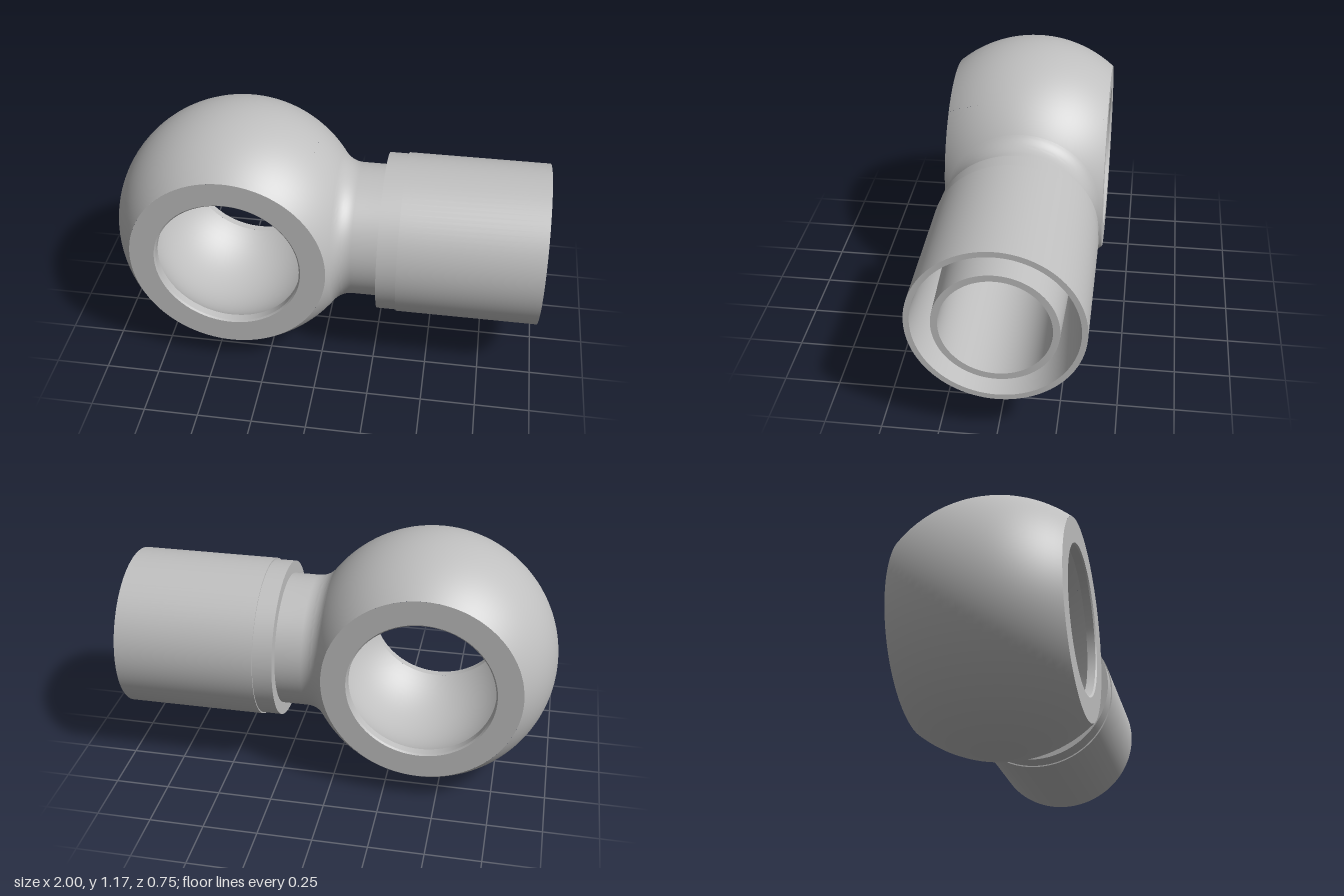
import * as THREE from 'three';
import { mergeGeometries, toCreasedNormals } from 'three/addons/utils/BufferGeometryUtils.js';

const CX = -0.415, CY = 0.585;            // centre of the ball head
const R = 0.585, HALF = 0.373;            // ball radius, half width between flats
const CAVITY = 0.466, LIP = 0.33;         // hollow inside the ball, its side openings
const NECK = 0.31, BORE = 0.233;

// Grid of points on a sphere; fn(u, v) gives the angle about z and the height z
function sphereGrid(radius, nu, nv, inward, fn) {
  const pos = [], nor = [], idx = [], s = inward ? -1 : 1;
  for (let j = 0; j <= nv; j++) {
    for (let i = 0; i <= nu; i++) {
      const [a, z] = fn(i / nu, j / nv);
      const r = Math.sqrt(radius * radius - z * z);
      const p = [r * Math.cos(a), r * Math.sin(a), z];
      pos.push(...p);
      nor.push(...p.map((c) => (s * c) / radius));
      if (i < nu && j < nv) {
        const k = j * (nu + 1) + i, l = k + nu + 1;
        if (inward) idx.push(k, k + 1, l, l, k + 1, l + 1);
        else idx.push(k, l, k + 1, l, l + 1, k + 1);
      }
    }
  }
  const g = new THREE.BufferGeometry();
  g.setAttribute('position', new THREE.Float32BufferAttribute(pos, 3));
  g.setAttribute('normal', new THREE.Float32BufferAttribute(nor, 3));
  g.setIndex(idx);
  return g;
}

// Spherical band cut by two flats, with a round hole facing +x
function piercedBand(radius, half, hole, inward) {
  const A = 0.9;
  const patch = sphereGrid(radius, 96, 12, inward, (u, v) => {
    const t = u * Math.PI * 2, c = Math.cos(t), s = Math.sin(t);
    const m = Math.max(Math.abs(c), Math.abs(s));
    const z0 = hole * s;
    const a0 = Math.asin((hole * c) / Math.sqrt(radius * radius - z0 * z0));
    return [a0 + ((A * c) / m - a0) * v, z0 + ((half * s) / m - z0) * v];
  });
  const rest = sphereGrid(radius, 24, 72, inward, (u, v) =>
    [A + (Math.PI * 2 - 2 * A) * v, half * (2 * u - 1)]);
  return mergeGeometries([patch, rest]);
}

// Revolved profile of [radius, height] points, with sharp edges kept
function revolve(points) {
  const g = new THREE.LatheGeometry(points.map(([r, h]) => new THREE.Vector2(r, h)), 96);
  return toCreasedNormals(g, 0.5);
}

export function createModel() {
  const metal = new THREE.MeshStandardMaterial({ color: 0xbfbfbf });
  metal.name = 'grey metal';
  const model = new THREE.Group();
  model.name = 'ringFitting';
  const add = (name, geometry, parent) => {
    const mesh = new THREE.Mesh(geometry, metal);
    mesh.name = name;
    parent.add(mesh);
    return mesh;
  };

  // Fillet circle that touches both the ball and the neck
  const dx = 0.555;
  const f = (dx * dx + NECK * NECK - R * R) / (2 * (R - NECK));
  const start = Math.PI + Math.atan2(NECK + f, dx);
  const fillet = [];
  for (let i = 0; i <= 12; i++) {
    const t = start + (Math.PI * 1.5 - start) * (i / 12);
    fillet.push([NECK + f + f * Math.sin(t), CX + dx + f * Math.cos(t)]);
  }

  // Ball head with its hollow
  const head = new THREE.Group();
  head.name = 'head';
  head.position.set(CX, CY, 0);
  model.add(head);
  const cavityHalf = Math.sqrt(CAVITY ** 2 - LIP ** 2);
  add('ballShell', piercedBand(R, HALF, fillet[0][0], false), head);
  add('ballCavity', piercedBand(CAVITY, cavityHalf, BORE, true), head);

  // Flat ring faces, chamfer and short bore on both sides
  for (const side of [1, -1]) {
    const face = revolve([
      [Math.sqrt(R * R - HALF * HALF), HALF], [LIP + 0.007, HALF],
      [LIP, HALF - 0.007], [LIP, cavityHalf],
    ]);
    face.rotateX((side * Math.PI) / 2);
    add(side > 0 ? 'frontRingFace' : 'backRingFace', face, head);
  }

  // Neck, collar, sleeve and inner tube, all turned about the x axis
  const stem = new THREE.Group();
  stem.name = 'stem';
  stem.position.y = CY;
  stem.rotation.z = -Math.PI / 2;
  model.add(stem);
  add('neck', revolve([...fillet, [NECK, 0.26]]), stem);
  add('collar', revolve([[NECK, 0.26], [0.367, 0.26], [0.367, 0.35], [0.373, 0.35]]), stem);
  add('sleeve', revolve([[0.373, 0.35], [0.373, 1], [0.348, 1], [0.318, 0.4], [0.282, 0.4]]), stem);
  const boreEnd = CX + Math.sqrt(CAVITY ** 2 - BORE ** 2);
  add('innerTube', revolve([[0.282, 0.4], [0.262, 1], [BORE, 1], [BORE, boreEnd]]), stem);

  return model;
}
